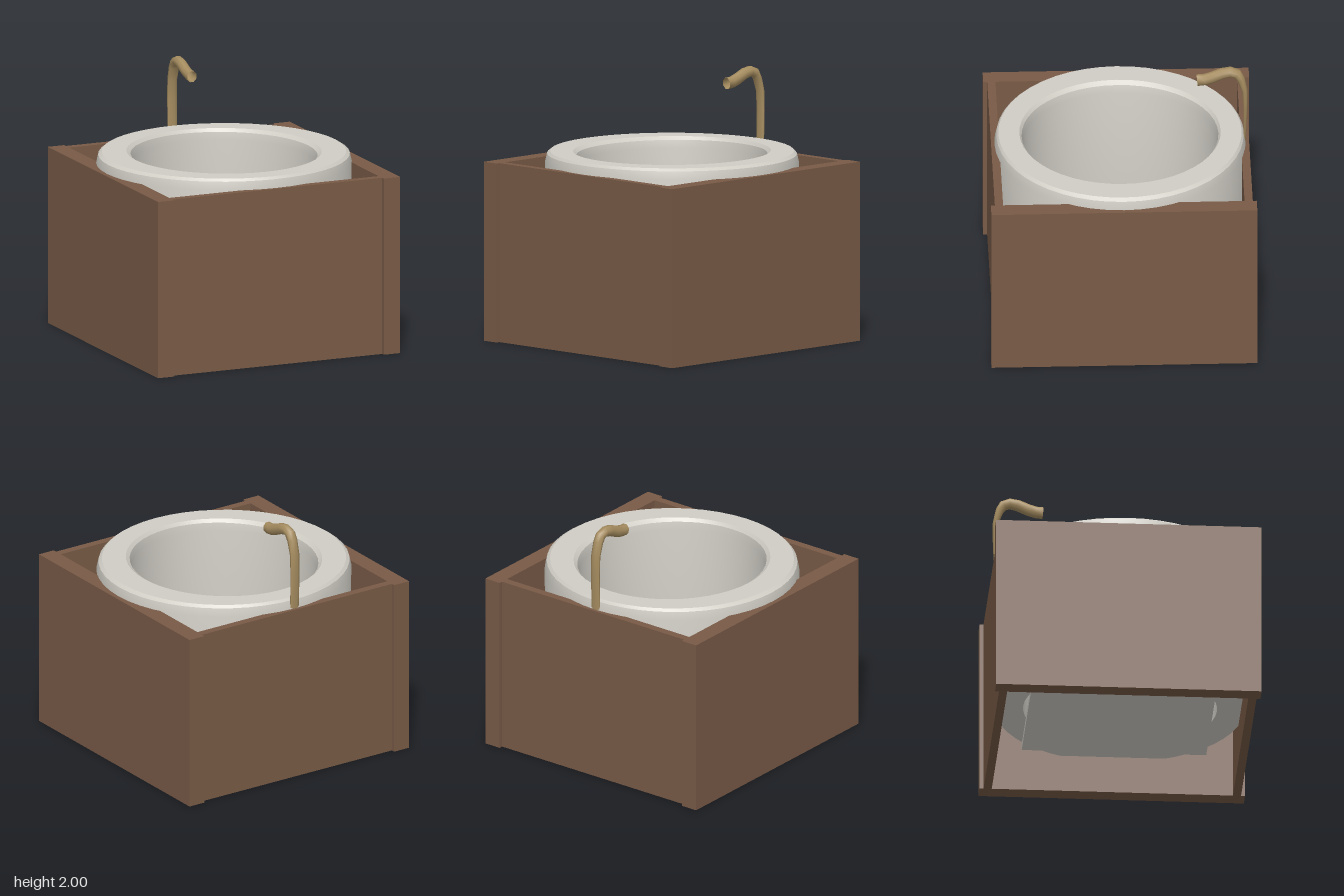
import * as THREE from 'three';
import { toCreasedNormals } from 'three/addons/utils/BufferGeometryUtils.js';

const wood = new THREE.MeshStandardMaterial({ color: 0x785a46 });
const stone = new THREE.MeshStandardMaterial({ color: 0xd0cdc5 });
const brass = new THREE.MeshStandardMaterial({ color: 0xa68d60, side: THREE.DoubleSide });

function box(name, material, w, h, d, x, y, z) {
  const mesh = new THREE.Mesh(new THREE.BoxGeometry(w, h, d), material);
  mesh.name = name;
  mesh.position.set(x, y, z);
  return mesh;
}

// Oval ring basin: each profile point is [x radius, z radius, y]
function makeBasin() {
  const profile = [
    [0.955, 0.94, 0.29], [0.965, 0.945, 1.36], [0.95, 0.93, 1.425], [0.92, 0.915, 1.445],
    [0.73, 0.757, 1.445], [0.695, 0.74, 1.42], [0.68, 0.733, 1.36], [0.675, 0.73, 0.29],
    [0.955, 0.94, 0.29],
  ];
  const geo = new THREE.LatheGeometry(profile.map(([r, , y]) => new THREE.Vector2(r, y)), 48);
  const pos = geo.attributes.position;
  for (let i = 0; i < pos.count; i++) {
    const [rx, rz] = profile[i % profile.length];
    pos.setZ(i, pos.getZ(i) * rz / rx);
  }
  const mesh = new THREE.Mesh(toCreasedNormals(geo, 0.4), stone);
  mesh.name = 'basin';
  return mesh;
}

// Spout swept along a path in the x = 0 plane: [z, y, half thickness]
function makeSpout() {
  const path = [
    [-0.936, 1.36, 0.009], [-0.94, 1.5, 0.012], [-0.943, 1.65, 0.015], [-0.938, 1.8, 0.021],
    [-0.908, 1.9, 0.03], [-0.88, 1.945, 0.036], [-0.83, 1.962, 0.039], [-0.77, 1.95, 0.041],
    [-0.69, 1.915, 0.042], [-0.635, 1.898, 0.042], [-0.58, 1.893, 0.043],
  ];
  const sides = 8, halfWidth = 0.038;
  const positions = [], index = [];
  path.forEach(([z, y, t], i) => {
    const a = path[Math.max(i - 1, 0)], b = path[Math.min(i + 1, path.length - 1)];
    const dir = new THREE.Vector2(b[0] - a[0], b[1] - a[1]).normalize();
    for (let k = 0; k < sides; k++) {
      const angle = (k + 0.5) / sides * Math.PI * 2;
      const s = Math.sin(angle) * t * 1.06;
      positions.push(Math.cos(angle) * halfWidth * 1.06, y + dir.x * s, z - dir.y * s);
      if (i < path.length - 1) {
        const p = i * sides + k, q = i * sides + (k + 1) % sides;
        index.push(p, q, q + sides, p, q + sides, p + sides);
      }
    }
  });
  const geo = new THREE.BufferGeometry();
  geo.setAttribute('position', new THREE.Float32BufferAttribute(positions, 3));
  geo.setIndex(index);
  geo.computeVertexNormals();
  const mesh = new THREE.Mesh(geo, brass);
  mesh.name = 'spout';
  return mesh;
}

export function createModel() {
  const model = new THREE.Group();
  model.name = 'tub';

  // Wooden surround: full-depth side panels with recessed front and back
  const surround = new THREE.Group();
  surround.name = 'surround';
  for (const s of [1, -1]) {
    surround.add(box(s > 0 ? 'leftPanel' : 'rightPanel', wood, 0.135, 1.36, 2, s * 0.9325, 0.68, 0));
    surround.add(box(s > 0 ? 'frontPanel' : 'backPanel', wood, 1.73, 1.36, 0.062, 0, 0.68, s * 0.939));
  }
  model.add(surround);

  // Basin with its square floor
  model.add(makeBasin());
  model.add(box('floor', stone, 1.35, 0.06, 1.39, 0, 0.27, 0));

  model.add(makeSpout());
  return model;
}
